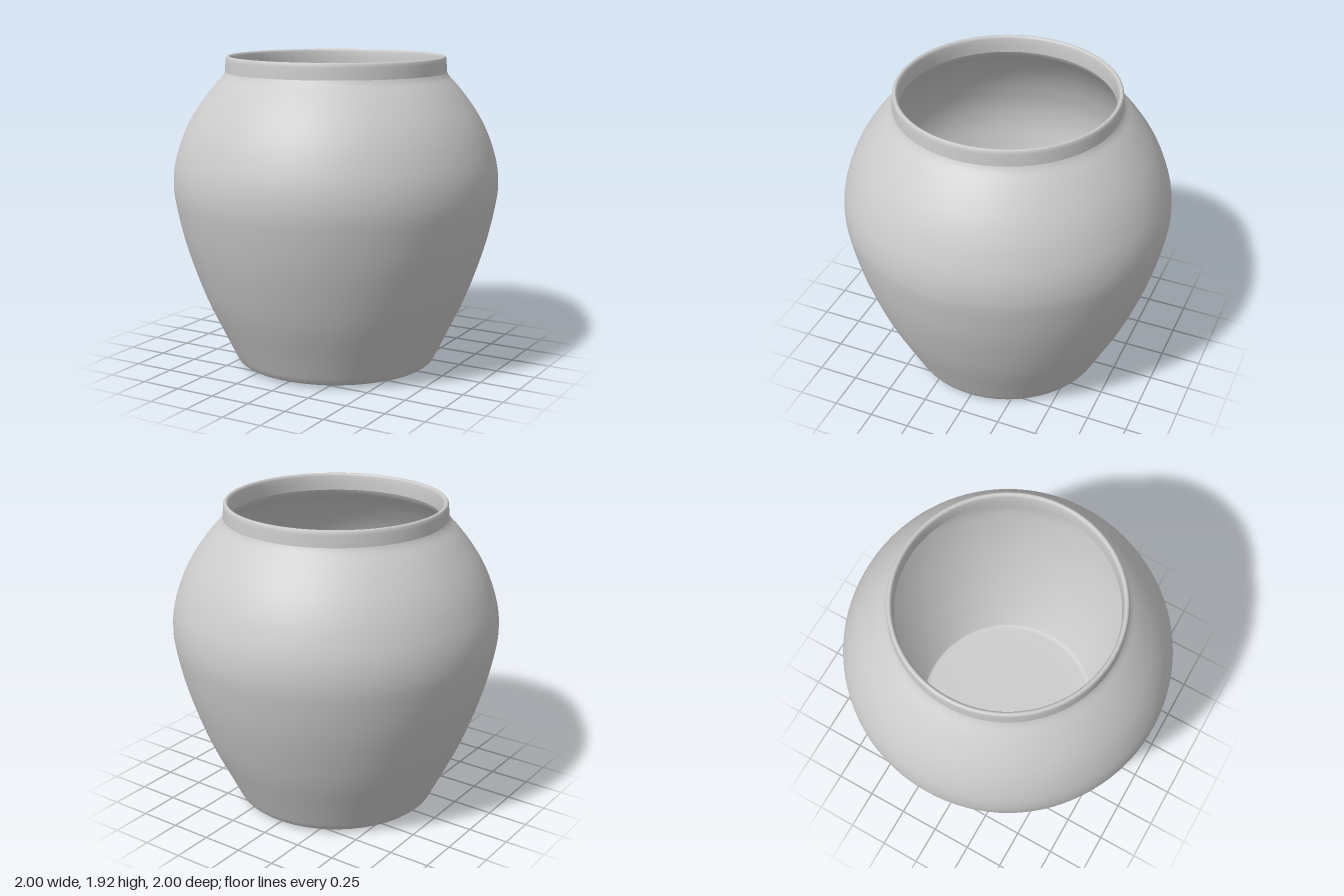
import * as THREE from 'three';

const SEGMENTS = 96;
const material = new THREE.MeshStandardMaterial({ color: 0xcccccc, side: THREE.DoubleSide });

const toPoints = (pairs) => pairs.map(([r, y]) => new THREE.Vector2(r, y));
const smooth = (pairs, n) => new THREE.SplineCurve(toPoints(pairs)).getPoints(n);

function turned(name, points) {
  const mesh = new THREE.Mesh(new THREE.LatheGeometry(points, SEGMENTS), material);
  mesh.name = name;
  return mesh;
}

export function createModel() {
  const group = new THREE.Group();
  group.name = 'pot';

  // Belly silhouette, from the foot up to the neck
  const belly = [
    [0.637, 0.06], [0.70, 0.19], [0.80, 0.4], [0.876, 0.6], [0.939, 0.8], [0.984, 1.0], [1.0, 1.13],
    [0.988, 1.27], [0.942, 1.42], [0.885, 1.54], [0.82, 1.64], [0.75, 1.73], [0.695, 1.79], [0.676, 1.82],
  ];
  group.add(turned('outerWall', smooth(belly, 48)));

  // Slightly convex underside with a rounded edge
  group.add(turned('base', toPoints([
    [0, 0], [0.2, 0.002], [0.45, 0.007], [0.585, 0.013], [0.608, 0.019], [0.622, 0.031], [0.637, 0.06],
  ])));

  // Upright collar with a rounded lip
  group.add(turned('rim', toPoints([
    [0.676, 1.82], [0.674, 1.86], [0.672, 1.89], [0.670, 1.908], [0.663, 1.916], [0.654, 1.917],
    [0.646, 1.912], [0.641, 1.9], [0.638, 1.86], [0.638, 1.81],
  ])));

  // Hollow inside: the belly set in by the wall thickness, down to the floor
  const wall = 0.035;
  const inside = [[0.638, 1.81], [0.66, 1.775]]
    .concat(belly.slice(1, -2).reverse().map(([r, y]) => [r - wall, y - 0.01]));
  group.add(turned('innerWall', smooth(inside, 44).concat(toPoints([[0.61, 0.08], [0.59, 0.05]]))));
  group.add(turned('floor', toPoints([[0.59, 0.05], [0.56, 0.04], [0.3, 0.035], [0, 0.033]])));

  return group;
}
